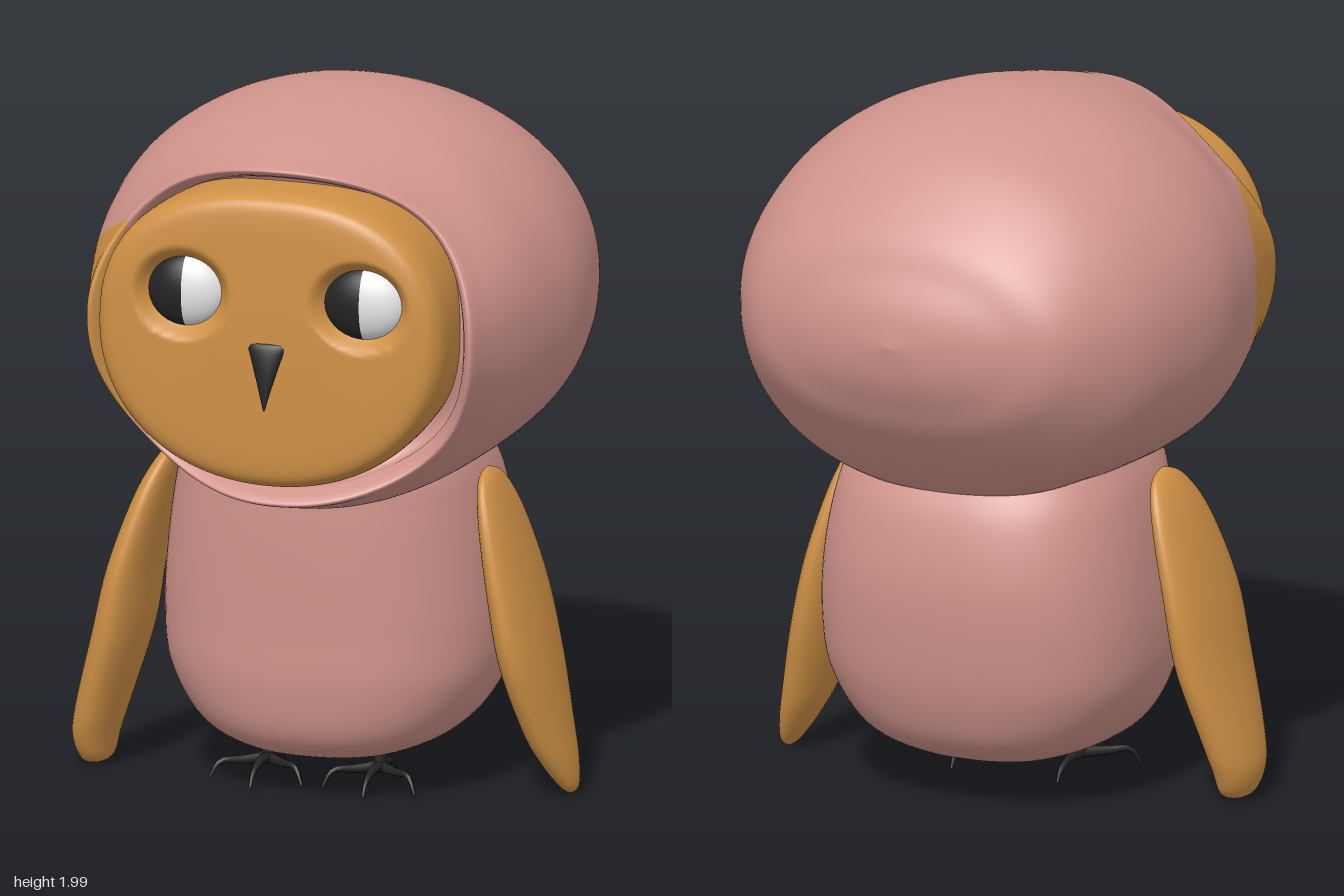
import * as THREE from 'three';

const mat = (name, color) => Object.assign(new THREE.MeshStandardMaterial({ color }), { name });
const pink = mat('dusty pink', 0xd0948b);
const orange = mat('orange', 0xd09146);
const black = mat('black', 0x242424);
const white = mat('white', 0xe8e8e8);

const { smoothstep } = THREE.MathUtils;

// Smooth interpolation through a short table of rows
function sample(rows, t) {
  const f = t * (rows.length - 1);
  const i = Math.min(Math.floor(f), rows.length - 2);
  const u = f - i;
  const at = k => rows[Math.max(0, Math.min(rows.length - 1, k))];
  return rows[0].map((_, k) => {
    const [a, b, c, d] = [at(i - 1)[k], at(i)[k], at(i + 1)[k], at(i + 2)[k]];
    return b + 0.5 * u * (c - a + u * (2 * a - 5 * b + 4 * c - d + u * (3 * (b - c) + d - a)));
  });
}

// Rounded-square point on a unit ring
function ring(theta, n) {
  const c = Math.cos(theta), s = Math.sin(theta);
  return [Math.sign(c) * Math.abs(c) ** (2 / n), Math.sign(s) * Math.abs(s) ** (2 / n)];
}

// Closed skin through rings; isAccent moves triangles to a second material group
function loft(nRows, nSeg, point, isAccent = () => false) {
  const pos = [], main = [], accent = [];
  for (let i = 0; i <= nRows; i++)
    for (let j = 0; j < nSeg; j++) pos.push(...point(i / nRows, (j / nSeg) * Math.PI * 2));
  for (let i = 0; i < nRows; i++)
    for (let j = 0; j < nSeg; j++) {
      const a = i * nSeg + j, b = i * nSeg + ((j + 1) % nSeg);
      const c = b + nSeg, d = a + nSeg;
      const mid = [0, 1, 2].map(k => (pos[a * 3 + k] + pos[c * 3 + k]) / 2);
      (isAccent(...mid) ? accent : main).push(a, b, c, a, c, d);
    }
  const g = new THREE.BufferGeometry();
  g.setAttribute('position', new THREE.Float32BufferAttribute(pos, 3));
  g.setIndex([...main, ...accent]);
  g.addGroup(0, main.length, 0);
  g.addGroup(main.length, accent.length, 1);
  g.computeVertexNormals();
  return g;
}

// Tube narrowing towards its end
function taperTube(points, r0, r1) {
  const curve = new THREE.CatmullRomCurve3(points.map(p => new THREE.Vector3(...p)));
  const n = 12, sides = 8;
  const g = new THREE.TubeGeometry(curve, n, r0, sides);
  const p = g.attributes.position, v = new THREE.Vector3();
  for (let i = 0; i < p.count; i++) {
    const t = Math.floor(i / (sides + 1)) / n;
    const centre = curve.getPointAt(t);
    v.fromBufferAttribute(p, i).sub(centre).multiplyScalar(1 + (r1 / r0 - 1) * t).add(centre);
    p.setXYZ(i, v.x, v.y, v.z);
  }
  g.computeVertexNormals();
  return g;
}

const EYES = [[-0.23, 'right'], [0.29, 'left']];
const EYE_Y = 1.53;

export function createModel() {
  const group = new THREE.Group();
  const add = (name, geometry, material, parent = group) => {
    const m = new THREE.Mesh(geometry, material);
    m.name = name;
    parent.add(m);
    return m;
  };

  // Head hood: rows of z, half width, height above and below the middle
  const hood = [
    [-0.71, 0, 0, 0], [-0.69, 0.18, 0.1, 0.1], [-0.65, 0.34, 0.19, 0.19],
    [-0.58, 0.49, 0.315, 0.3], [-0.4, 0.615, 0.475, 0.49], [-0.2, 0.675, 0.555, 0.525],
    [0, 0.695, 0.58, 0.535], [0.2, 0.665, 0.565, 0.55], [0.4, 0.62, 0.525, 0.55],
    [0.54, 0.582, 0.488, 0.515], [0.61, 0.562, 0.468, 0.498], [0.6, 0.54, 0.45, 0.477],
    [0.56, 0.522, 0.435, 0.457], [0.5, 0.5, 0.41, 0.43], [0.48, 0.3, 0.25, 0.25],
  ];
  const headPoint = (t, a) => {
    const [z, w, up, down] = sample(hood, t);
    const [x, y] = ring(a, Math.sin(a) > 0 ? 2.05 : 2.2);
    // The rim dips back at its four corners
    const dip = 0.1 * Math.sin(2 * a) ** 2 + 0.03 * Math.cos(a) ** 2;
    return [0.025 + w * x, 1.42 + y * (y > 0 ? up : down), z - dip * smoothstep(z, 0.2, 0.58)];
  };
  // Orange patch on the right cheek
  const cheek = (x, y, z) => x < -0.3 && y > 1.07 && y < 1.71 && z > 0.27 + 1.21 * (x + 0.64);
  add('head', loft(112, 192, headPoint, cheek), [pink, orange]);

  // Face disc with two dished eye sockets: rows of z, scale
  const disc = [[0.38, 0.98], [0.5, 1], [0.6, 1], [0.645, 0.975], [0.67, 0.92],
    [0.68, 0.8], [0.684, 0.6], [0.687, 0.4], [0.69, 0.2], [0.69, 0]];
  add('face', loft(90, 144, (t, a) => {
    const [z, s] = sample(disc, t);
    const [cx, cy] = ring(a, Math.sin(a) > 0 ? 2.4 : 2.1);
    const x = 0.015 + 0.505 * s * cx, y = 1.42 + s * cy * (cy > 0 ? 0.41 : 0.44);
    let dent = 0;
    if (z > 0.55)
      for (const [ex] of EYES)
        dent += 0.055 * (1 - smoothstep(Math.hypot((x - ex) / 0.13, (y - EYE_Y) / 0.118), 0.7, 1.15));
    return [x, y, z - dent];
  }), orange);

  // Eyes, each half black and half white
  for (const [x, side] of EYES) {
    const eye = new THREE.Group();
    eye.name = side + 'Eye';
    eye.position.set(x, EYE_Y, 0.617);
    eye.scale.set(x > 0 ? 0.125 : 0.115, 0.107, 0.066);
    add('pupilHalf', new THREE.SphereGeometry(1, 20, 24, -Math.PI / 2, Math.PI), black, eye);
    add('whiteHalf', new THREE.SphereGeometry(1, 20, 24, Math.PI / 2, Math.PI), white, eye);
    group.add(eye);
  }

  // Beak
  const beakRows = [[1.22, 0.002, 0.002, 0.712], [1.3, 0.024, 0.012, 0.702],
    [1.36, 0.042, 0.016, 0.692], [1.4, 0.055, 0.014, 0.684], [1.41, 0.04, 0.005, 0.68], [1.405, 0, 0, 0.68]];
  add('beak', loft(20, 24, (t, a) => {
    const [y, w, d, z] = sample(beakRows, t);
    return [0.022 + w * Math.cos(a), y, z - d * Math.sin(a)];
  }), black);

  // Body: rows of y, half width, front z, back z
  const bodyRows = [[0.1, 0, 0, 0], [0.103, 0.13, 0.18, -0.15], [0.13, 0.26, 0.3, -0.27],
    [0.2, 0.38, 0.372, -0.37], [0.34, 0.465, 0.402, -0.43], [0.5, 0.485, 0.406, -0.457],
    [0.68, 0.475, 0.41, -0.465], [0.85, 0.45, 0.41, -0.435], [0.96, 0.42, 0.4, -0.38], [1.08, 0.36, 0.34, -0.3]];
  add('body', loft(60, 96, (t, a) => {
    const [y, w, front, back] = sample(bodyRows, t);
    const [x, z] = ring(a, 2.5);
    return [0.015 + w * x, y, (front + back) / 2 - z * (front - back) / 2];
  }), pink);

  // Wings: rows of y, centre x, half thickness, centre z, half width
  const leftRows = [[0.008, 0.698, 0, 0.025, 0], [0.03, 0.695, 0.025, 0.027, 0.04],
    [0.1, 0.67, 0.048, 0.033, 0.088], [0.2, 0.638, 0.064, 0.042, 0.132], [0.4, 0.592, 0.073, 0.057, 0.188],
    [0.6, 0.553, 0.065, 0.061, 0.193], [0.8, 0.508, 0.047, 0.068, 0.152], [0.91, 0.48, 0.026, 0.075, 0.085],
    [0.945, 0.472, 0, 0.08, 0]];
  const rightRows = [[0.008, -0.665, 0, 0.1, 0], [0.03, -0.662, 0.042, 0.1, 0.075],
    [0.1, -0.663, 0.062, 0.102, 0.115], [0.2, -0.641, 0.07, 0.1, 0.145], [0.4, -0.588, 0.075, 0.092, 0.185],
    [0.6, -0.55, 0.066, 0.085, 0.19], [0.8, -0.495, 0.05, 0.075, 0.15], [0.91, -0.455, 0.028, 0.07, 0.085],
    [0.945, -0.44, 0, 0.07, 0]];
  for (const [name, rows] of [['leftWing', leftRows], ['rightWing', rightRows]])
    add(name, loft(48, 40, (t, a) => {
      const [y, x, thick, z, w] = sample(rows, t);
      return [x + thick * Math.cos(a), y, z - w * Math.sin(a)];
    }), orange);

  // Feet: ankle, three front toes and a back toe
  for (const [x, side] of [[-0.155, 'right'], [0.175, 'left']]) {
    const foot = new THREE.Group();
    foot.name = side + 'Foot';
    foot.position.x = x;
    add('ankle', new THREE.CylinderGeometry(0.016, 0.02, 0.07, 10).translate(0, 0.1, 0.13), black, foot);
    const toes = [
      [[0, 0.07, 0.13], [0, 0.075, 0.2], [0, 0.055, 0.26], [0, 0.018, 0.29]],
      [[0, 0.07, 0.13], [0.06, 0.07, 0.18], [0.11, 0.07, 0.22], [0.135, 0.025, 0.24]],
      [[0, 0.07, 0.13], [-0.06, 0.07, 0.18], [-0.11, 0.07, 0.22], [-0.135, 0.025, 0.24]],
      [[0, 0.07, 0.13], [0, 0.07, 0.07], [0, 0.05, 0.01], [0, 0.015, -0.015]],
    ];
    for (const path of toes) add('toe', taperTube(path, 0.018, 0.004), black, foot);
    group.add(foot);
  }

  return group;
}
